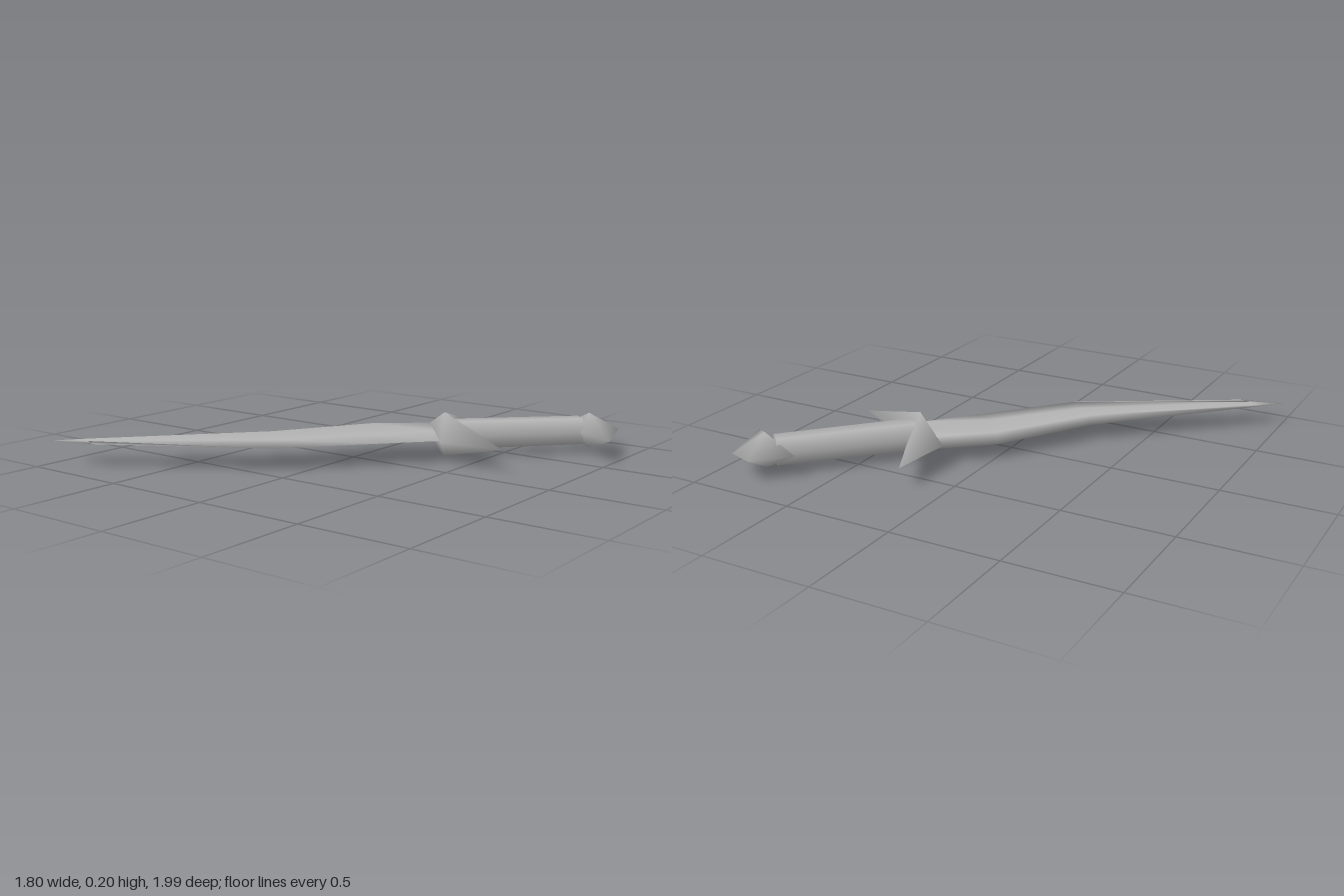
import * as THREE from 'three';

const MID = 0.104; // height of the plane the dagger lies in

function meshFrom(name, positions, index, material) {
  const geo = new THREE.BufferGeometry();
  geo.setAttribute('position', new THREE.Float32BufferAttribute(positions, 3));
  geo.setIndex(index);
  geo.computeVertexNormals();
  const mesh = new THREE.Mesh(geo, material);
  mesh.name = name;
  return mesh;
}

// Thin-edged outline rising to one peak above and one below
function spikedPlate(name, ring, [px, pz], half, material) {
  const n = ring.length;
  const pos = ring.flatMap(([x, z]) => [x, MID, z]);
  pos.push(px, MID + half, pz, px, MID - half, pz);
  const index = [];
  for (let i = 0; i < n; i++) {
    const j = (i + 1) % n;
    index.push(n, j, i, n + 1, i, j);
  }
  return meshFrom(name, pos, index, material);
}

// Blade lofted from sections: sharp edge, middle line, blunt spine
function makeBlade(material) {
  // [edge x, z, middle x, z, half height, spine x, z, half height]
  const sections = [
    [0.15, 0.40, 0.25, 0.31, 0.017, 0.35, 0.22, 0.030],
    [-0.05, 0.223, 0.0, 0.10, 0.016, 0.156, -0.016, 0.029],
    [-0.436, -0.106, -0.34, -0.185, 0.012, -0.246, -0.28, 0.024],
    [-0.85, -0.80, -0.83, -0.85, 0.004, -0.80, -0.89, 0.005],
  ];
  const pos = [];
  for (const [ex, ez, mx, mz, mh, sx, sz, sh] of sections) {
    pos.push(ex, MID, ez, mx, MID + mh, mz, sx, MID + sh, sz,
      sx, MID - sh, sz, mx, MID - mh, mz);
  }
  const tip = pos.length / 3;
  pos.push(-0.9, MID, -1.0);
  const index = [];
  for (let i = 0; i < sections.length; i++) {
    for (let j = 0; j < 5; j++) {
      const a = i * 5 + j, b = i * 5 + (j + 1) % 5;
      if (i === sections.length - 1) index.push(a, b, tip);
      else index.push(a, b, b + 5, a, b + 5, a + 5);
    }
  }
  index.push(0, 2, 1, 0, 3, 2, 0, 4, 3); // base cap
  return meshFrom('blade', pos, index, material);
}

// Six-sided grip between guard and pommel
function makeGrip(material) {
  const from = new THREE.Vector2(0.29, 0.335), to = new THREE.Vector2(0.735, 0.765);
  const geo = new THREE.CylinderGeometry(0.07, 0.074, from.distanceTo(to), 6, 1, false, Math.PI / 6);
  geo.rotateX(Math.PI / 2);
  geo.rotateY(Math.atan2(to.x - from.x, to.y - from.y));
  const mesh = new THREE.Mesh(geo, material);
  mesh.name = 'grip';
  mesh.position.set((from.x + to.x) / 2, MID, (from.y + to.y) / 2);
  return mesh;
}

export function createModel() {
  const steel = new THREE.MeshStandardMaterial({ color: 0xb4b4b4 });
  steel.name = 'grey steel';

  const dagger = new THREE.Group();
  dagger.name = 'dagger';
  dagger.add(
    makeBlade(steel),
    makeGrip(steel),
    spikedPlate('guard',
      [[0.35, 0.15], [0.65, 0.18], [0.31, 0.35], [0.14, 0.695], [0.11, 0.40]],
      [0.27, 0.315], 0.102, steel),
    spikedPlate('pommel',
      [[0.755, 0.645], [0.897, 0.785], [0.86, 0.90], [0.575, 0.99], [0.675, 0.79], [0.735, 0.755]],
      [0.755, 0.80], 0.082, steel),
  );
  return dagger;
}
